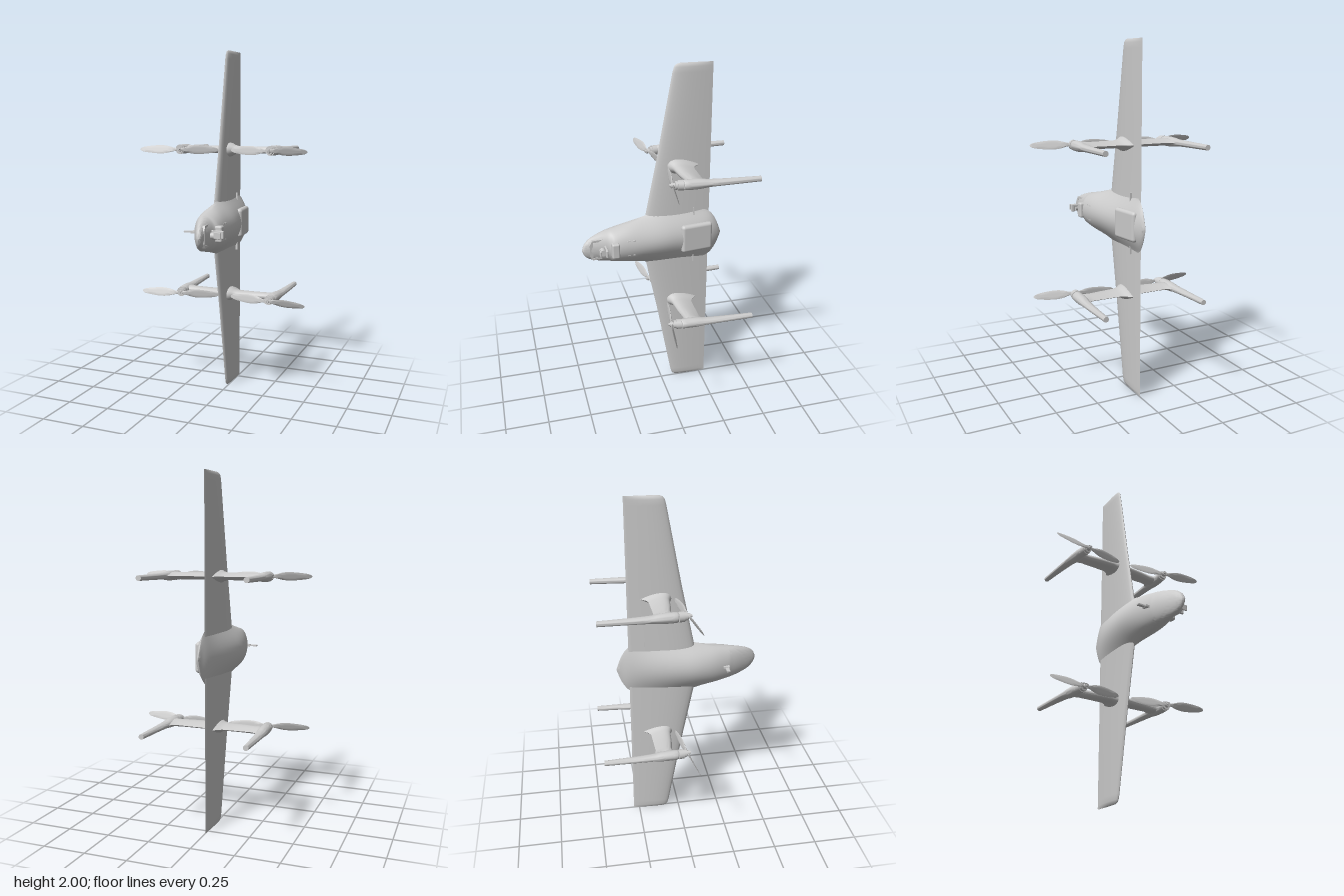
import * as THREE from 'three';
import { toCreasedNormals } from 'three/addons/utils/BufferGeometryUtils.js';
import { RoundedBoxGeometry } from 'three/addons/geometries/RoundedBoxGeometry.js';

const grey = new THREE.MeshStandardMaterial({ color: 0xcccccc, roughness: 0.7 });

function add(parent, name, geometry, x = 0, y = 0, z = 0) {
  const mesh = new THREE.Mesh(geometry, grey);
  mesh.name = name;
  mesh.position.set(x, y, z);
  parent.add(mesh);
  return mesh;
}

// Skin a closed, capped solid over rings of [x, y, z] points, faces outward
function loft(rings, crease = 0.7) {
  const n = rings[0].length, pos = [], idx = [];
  for (const ring of rings) for (const p of ring) pos.push(...p);
  for (let i = 0; i < rings.length - 1; i++) {
    for (let j = 0; j < n; j++) {
      const a = i * n + j, b = i * n + (j + 1) % n;
      idx.push(a, b, a + n, b, b + n, a + n);
    }
  }
  for (const [k, flip] of [[0, true], [rings.length - 1, false]]) {
    const c = pos.length / 3;
    pos.push(...[0, 1, 2].map(q => rings[k].reduce((s, p) => s + p[q], 0) / n));
    for (let j = 0; j < n; j++) {
      const a = k * n + j, b = k * n + (j + 1) % n;
      if (flip) idx.push(c, b, a); else idx.push(c, a, b);
    }
  }
  const v = i => new THREE.Vector3().fromArray(pos, i * 3);
  let volume = 0;
  for (let i = 0; i < idx.length; i += 3) volume += v(idx[i]).dot(v(idx[i + 1]).cross(v(idx[i + 2])));
  if (volume < 0) idx.reverse();
  const g = new THREE.BufferGeometry();
  g.setAttribute('position', new THREE.Float32BufferAttribute(pos, 3));
  g.setIndex(idx);
  return toCreasedNormals(g, crease);
}

// Smoothly resample a table of section parameters
function smooth(rows, steps) {
  return Array.from({ length: steps + 1 }, (_, i) => {
    const t = i / steps * (rows.length - 1), k = Math.min(Math.floor(t), rows.length - 2), f = t - k;
    const at = j => rows[Math.max(0, Math.min(rows.length - 1, j))];
    return rows[0].map((_, q) => {
      const [a, b, c, d] = [at(k - 1)[q], at(k)[q], at(k + 1)[q], at(k + 2)[q]];
      return b + 0.5 * f * (c - a + f * (2 * a - 5 * b + 4 * c - d + f * (3 * (b - c) + d - a)));
    });
  });
}

const angles = n => Array.from({ length: n }, (_, i) => i / n * Math.PI * 2);

// Airfoil outline as [chord position from front to back, offset] pairs
function airfoil(front, back, thick) {
  return angles(28).map(a => {
    const u = (1 - Math.cos(a)) / 2;
    const half = 2.6 * (0.2969 * Math.sqrt(u) - 0.126 * u - 0.3516 * u * u + 0.2843 * u ** 3 - 0.1 * u ** 4);
    return [front + (back - front) * u, Math.sign(Math.sin(a)) * half * thick * 1.9 + 0.0001 * Math.sin(a)];
  });
}

function buildFuselage(g) {
  // z, left x, right x, seam x, half height, flare exponent
  const rows = [
    [0.47, 0.043, 0.057, 0.05, 0.008, 1],
    [0.455, 0.03, 0.063, 0.046, 0.04, 1],
    [0.42, 0.01, 0.068, 0.035, 0.067, 1],
    [0.36, -0.02, 0.074, 0.02, 0.088, 1],
    [0.315, -0.04, 0.082, 0.01, 0.098, 1],
    [0.285, -0.052, 0.1, 0.006, 0.104, 1.05],
    [0.2, -0.075, 0.1, 0, 0.122, 1.2],
    [0.1, -0.086, 0.095, -0.006, 0.147, 2],
    [0, -0.079, 0.087, -0.006, 0.17, 2.8],
    [-0.1, -0.063, 0.073, -0.004, 0.175, 3],
    [-0.2, -0.04, 0.062, 0, 0.165, 2.8],
    [-0.28, -0.018, 0.05, 0.004, 0.142, 2.2],
    [-0.325, 0, 0.031, 0.008, 0.085, 1.5],
    [-0.355, 0.009, 0.012, 0.01, 0.005, 1],
  ];
  const rings = smooth(rows, 52).map(([z, xl, xr, xc, h, e]) => angles(48).map(a => {
    const c = Math.cos(a), w = c > 0 ? xr - xc : xc - xl;
    return [xc + w * Math.sign(c) * Math.abs(c) ** e, 1 + h * Math.sin(a), z];
  }));
  add(g, 'fuselage', loft(rings, 1));

  // Rounded hatch on the belly
  const hatch = add(g, 'batteryHatch', new RoundedBoxGeometry(0.04, 0.17, 0.19, 4, 0.018), 0.045, 1, -0.2);
  hatch.rotation.y = 0.12;

  // Vents and slots on the belly: y offset, z, height, length
  const slots = [[0.035, 0.29, 0.018, 0.02], [0.042, 0.21, 0.015, 0.02], [0.042, 0.18, 0.015, 0.015],
    [0.036, 0.12, 0.012, 0.055], [0.042, 0.06, 0.014, 0.012], [0.022, -0.02, 0.01, 0.03]];
  for (const s of [-1, 1]) {
    for (const [y, z, h, l] of slots) {
      add(g, 'bellyVent', new RoundedBoxGeometry(0.02, h, l, 2, 0.004), z > 0.15 ? 0.083 : 0.07, 1 + s * y, z);
    }
    add(g, 'wingJoint', new THREE.BoxGeometry(0.034, 0.055, 0.005), 0.001, 1 + s * 0.147, -0.19);
  }

  // Top antenna
  add(g, 'antenna', new THREE.BoxGeometry(0.065, 0.008, 0.02), -0.085, 1, 0.275);
  add(g, 'antennaBase', new THREE.BoxGeometry(0.03, 0.012, 0.035), -0.058, 1, 0.275);
}

function buildCamera(g) {
  const cam = new THREE.Group();
  cam.name = 'cameraGimbal';
  g.add(cam);
  // Frame around the camera bay
  const frame = new THREE.Shape();
  frame.moveTo(-0.055, -0.06).lineTo(0.045, -0.06).lineTo(0.06, -0.035)
    .lineTo(0.06, 0.035).lineTo(0.045, 0.06).lineTo(-0.055, 0.06).closePath();
  const hole = new THREE.Path();
  hole.moveTo(-0.045, -0.048).lineTo(-0.045, 0.048).lineTo(0.04, 0.048).lineTo(0.04, -0.048).closePath();
  frame.holes.push(hole);
  const rim = add(cam, 'bayFrame', new THREE.ExtrudeGeometry(frame, { depth: 0.016, bevelEnabled: false }), 0.062, 1, 0.37);
  rim.rotation.y = -Math.PI / 2 + 0.12;
  rim.scale.z = 1;
  add(cam, 'bayLip', new RoundedBoxGeometry(0.045, 0.09, 0.045, 3, 0.01), 0.094, 1, 0.288);
  // Arm and camera head
  add(cam, 'gimbalArm', new RoundedBoxGeometry(0.07, 0.014, 0.012, 2, 0.004), 0.1, 1.02, 0.342);
  add(cam, 'gimbalEnd', new RoundedBoxGeometry(0.022, 0.045, 0.014, 2, 0.005), 0.132, 1.005, 0.343);
  add(cam, 'gimbalPlate', new RoundedBoxGeometry(0.04, 0.035, 0.008, 2, 0.003), 0.12, 1.005, 0.378);
  const head = add(cam, 'cameraHead', new THREE.CylinderGeometry(0.018, 0.018, 0.035, 20), 0.095, 1, 0.36);
  head.rotation.z = Math.PI / 2;
}

function buildWing(g) {
  // distance from centre, leading edge z, trailing edge z, thickness
  const half = [[0, 0.115, -0.285, 0.05], [0.15, 0.09, -0.285, 0.045], [0.5, 0.02, -0.285, 0.036],
    [0.95, -0.062, -0.285, 0.027], [0.98, -0.07, -0.285, 0.025], [0.993, -0.08, -0.285, 0.018], [1, -0.1, -0.284, 0.005]];
  const rows = [...half.slice(1).reverse().map(([y, ...r]) => [-y, ...r]), ...half];
  const rings = rows.map(([y, f, b, t]) => airfoil(f, b, t)
    .map(([z, x]) => [x - 0.007 - 0.03 * (z + 0.1), 1 + y, z]));
  add(g, 'wing', loft(rings));
}

function buildPropeller(parent, s, x, y, z) {
  const prop = new THREE.Group();
  prop.name = 'propeller';
  prop.position.set(s * x, y, z);
  prop.rotation.y = -s * 0.147;
  parent.add(prop);
  const rows = [[0.008, 0.016, 0.012], [0.03, 0.022, 0.009], [0.07, 0.044, 0.006],
    [0.11, 0.052, 0.005], [0.16, 0.046, 0.004], [0.21, 0.032, 0.003], [0.23, 0.018, 0.002], [0.237, 0.004, 0.001]];
  for (const d of [-1, 1]) {
    const rings = smooth(rows, 21).map(([r, chord, t]) => {
      const twist = d * (d * s > 0 ? 0.4 : 0.15) * (r < 0.05 ? r / 0.05 : 1);
      return angles(14).map(a => {
        const u = Math.cos(a) * chord / 2, v = Math.sin(a) * t / 2;
        return [d * r, u * Math.cos(twist) - v * Math.sin(twist), u * Math.sin(twist) + v * Math.cos(twist)];
      });
    });
    add(prop, 'blade', loft(rings));
  }
  // Motor, stacked along the tilted spin axis: radius, length, z
  for (const [name, r, l, o] of [['motor', 0.028, 0.03, -0.04], ['motorCap', 0.023, 0.016, -0.019],
    ['shaft', 0.009, 0.03, -0.002], ['hub', 0.014, 0.02, 0], ['spinnerNut', 0.008, 0.014, 0.012]]) {
    add(prop, name, new THREE.CylinderGeometry(r, r, l, 24), 0, 0, o).rotation.x = Math.PI / 2;
  }
}

function buildPylon(g, y0) {
  const pylon = new THREE.Group();
  pylon.name = 'pylon';
  g.add(pylon);
  // Cross arm: x, front z, back z, thickness
  const half = [[0, -0.03, -0.215, 0.085], [0.02, -0.035, -0.205, 0.078], [0.035, -0.048, -0.185, 0.058],
    [0.06, -0.055, -0.171, 0.044], [0.15, -0.062, -0.169, 0.042], [0.225, -0.073, -0.167, 0.042],
    [0.25, -0.07, -0.175, 0.044], [0.268, -0.065, -0.2, 0.042], [0.285, -0.06, -0.22, 0.03]];
  const rows = [...half.slice(1).reverse().map(([x, ...r]) => [-x, ...r]), ...half];
  const rings = rows.map(([x, f, b, t]) => airfoil(f, b, t).map(([z, h]) => [x, y0 + h, z]));
  add(pylon, 'crossArm', loft(rings));

  // Landing legs with motor pods: z, inner x, outer x, thickness
  const leg = [[-0.045, 0.256, 0.308, 0.05], [-0.06, 0.253, 0.313, 0.056], [-0.11, 0.253, 0.316, 0.056],
    [-0.15, 0.256, 0.317, 0.05], [-0.19, 0.262, 0.317, 0.04], [-0.3, 0.272, 0.317, 0.034], [-0.468, 0.284, 0.315, 0.03]];
  for (const s of [-1, 1]) {
    const skin = smooth(leg, 24).map(([z, a, b, t]) => angles(24).map(q =>
      [s * ((a + b) / 2 + Math.cos(q) * (b - a) / 2), y0 + Math.sin(q) * t / 2, z]));
    add(pylon, 'landingLeg', loft(skin));
    buildPropeller(pylon, s, 0.274, y0, 0.01);
  }
}

export function createModel() {
  const model = new THREE.Group();
  model.name = 'tailSitterDrone';
  buildFuselage(model);
  buildCamera(model);
  buildWing(model);
  for (const y of [0.577, 1.435]) buildPylon(model, y);
  return model;
}
